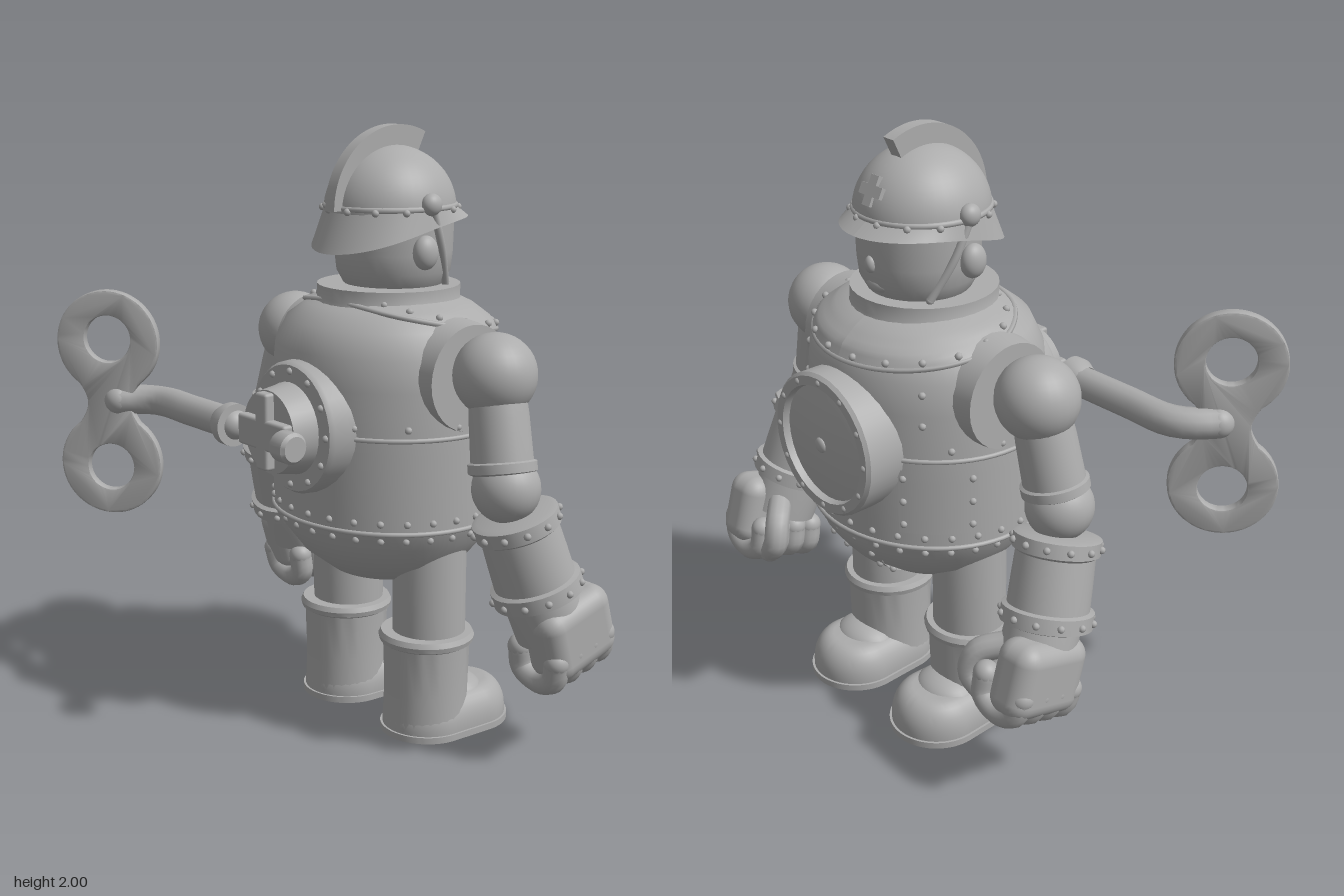
import * as THREE from 'three';
import { toCreasedNormals } from 'three/addons/utils/BufferGeometryUtils.js';
import { RoundedBoxGeometry } from 'three/addons/geometries/RoundedBoxGeometry.js';

const V = (x, y, z) => new THREE.Vector3(x, y, z);
const CX = 0.155, SX = 0.915; // torso centre and depth ratio
const PROFILE = [[0, 0.487], [0.1, 0.497], [0.2, 0.53], [0.3, 0.6], [0.365, 0.68], [0.39, 0.745], [0.4, 0.75],
  [0.402, 1.0], [0.4, 1.2], [0.39, 1.3], [0.35, 1.38], [0.28, 1.43], [0.2, 1.46], [0, 1.465]];

// torso radius at a height
function radiusAt(y) {
  for (let i = 1; i < PROFILE.length; i++) {
    const [r0, y0] = PROFILE[i - 1], [r1, y1] = PROFILE[i];
    if (y <= y1) return r0 + (r1 - r0) * Math.max(0, (y - y0) / (y1 - y0));
  }
  return 0;
}
// point on the torso; angle 0 is the chest
function onBody(a, y, off = 0) {
  const r = radiusAt(y) + off;
  return V(CX + r * SX * Math.cos(a), y, r * Math.sin(a));
}

export function createModel() {
  const model = new THREE.Group();
  model.name = 'windUpRobot';
  const metal = new THREE.MeshStandardMaterial({ color: 0xacacac, side: THREE.DoubleSide });
  metal.name = 'grey metal';

  const add = (name, geo, x = 0, y = 0, z = 0) => {
    const m = new THREE.Mesh(geo, metal);
    m.name = name;
    m.position.set(x, y, z);
    model.add(m);
    return m;
  };
  const lathe = (pts, seg = 40) =>
    toCreasedNormals(new THREE.LatheGeometry(pts.map(([r, y]) => new THREE.Vector2(r, y)), seg), 0.6);
  // turned part from a to b; profile is [radius, fraction along]
  const rod = (name, a, b, pts) => {
    const d = b.clone().sub(a), L = d.length();
    const m = add(name, lathe(pts.map(([r, t]) => [r, t * L]), 32), a.x, a.y, a.z);
    m.quaternion.setFromUnitVectors(V(0, 1, 0), d.normalize());
    return m;
  };
  const ball = (name, p, rx, ry = rx, rz = rx) => {
    const m = add(name, new THREE.SphereGeometry(1, 28, 20), p.x, p.y, p.z);
    m.scale.set(rx, ry, rz);
    return m;
  };
  const tube = (name, pts, r) => {
    add(name, new THREE.TubeGeometry(new THREE.CatmullRomCurve3(pts), 16, r, 12));
    [pts[0], pts[pts.length - 1]].forEach(p => ball(name + 'End', p, r));
  };
  const rivetGeo = new THREE.SphereGeometry(0.012, 8, 6);
  const rivet = p => add('rivet', rivetGeo, p.x, p.y, p.z);
  // grid surface from a function of u, v
  const sheet = (name, fn, nu, nv) => {
    const g = new THREE.PlaneGeometry(1, 1, nu, nv), p = g.attributes.position;
    for (let i = 0; i < p.count; i++) {
      const q = fn(p.getX(i) + 0.5, p.getY(i) + 0.5);
      p.setXYZ(i, q.x, q.y, q.z);
    }
    g.computeVertexNormals();
    return add(name, g);
  };
  const bodyPlate = (name, a0, a1, y0, y1, off) =>
    sheet(name, (u, v) => onBody(a1 + (a0 - a1) * u, y0 + (y1 - y0) * v, off), 20, 10);

  // Torso
  const torso = add('torso', lathe(PROFILE, 64), CX);
  torso.scale.x = SX;
  for (const y of [0.745, 1.05]) {
    const band = add('seamBand', new THREE.TorusGeometry(0.401, 0.008, 8, 64).rotateX(Math.PI / 2), CX, y);
    band.scale.x = SX;
  }
  for (let i = 0; i < 28; i++) {
    const a = (i + 0.5) / 28 * Math.PI * 2;
    for (const y of [0.715, 0.778]) rivet(onBody(a, y));
    if (i % 2) rivet(onBody(a, 1.085));
  }
  // Side and hip plates with riveted edges
  bodyPlate('hipPlate', -0.33, 0.33, 0.5, 0.735, 0.01);
  for (const s of [1, -1]) {
    bodyPlate('sidePlate', s * 0.9 - 0.32, s * 0.9 + 0.32, 0.8, 1.02, 0.008);
    for (const y of [0.83, 0.91, 0.99]) for (const e of [-0.28, 0.28]) rivet(onBody(s * 0.9 + e, y, 0.008));
    for (const y of [0.55, 0.61, 0.67]) rivet(onBody(s * 0.27, y, 0.01));
    for (const y of [1.17, 1.27]) rivet(onBody(s * 0.78, y));
  }

  // Neck bib and collar
  const bibLow = a => 1.39 - 0.06 * Math.cos(a);
  sheet('bib', (u, v) => {
    const a = -u * Math.PI * 2, y = bibLow(a) + (1.455 - bibLow(a)) * v;
    return onBody(a, y, 0.014);
  }, 64, 8);
  const edge = [];
  for (let i = 0; i < 40; i++) {
    const a = i / 40 * Math.PI * 2;
    edge.push(onBody(a, bibLow(a), 0.008));
    if (i % 2) rivet(onBody(a, bibLow(a) + 0.02, 0.016));
  }
  add('bibRim', new THREE.TubeGeometry(new THREE.CatmullRomCurve3(edge, true), 80, 0.009, 6, true));
  rod('collar', V(0.16, 1.42, 0), V(0.16, 1.492, 0), [[0.25, 0], [0.235, 0.4], [0.235, 1], [0, 1]]);

  // Chest porthole
  rod('chestDisc', V(0.4, 1.06, 0), V(0.59, 1.06, 0),
    [[0.235, 0], [0.235, 0.94], [0.225, 1], [0.195, 1], [0.19, 0.88], [0.15, 0.93], [0.08, 0.98], [0, 1]]);
  ball('chestBoss', V(0.588, 1.06, 0), 0.012, 0.025, 0.025);
  for (let i = 0; i < 12; i++) {
    const a = i / 12 * Math.PI * 2;
    rivet(V(0.585, 1.06 + 0.21 * Math.cos(a), 0.21 * Math.sin(a)));
    rivet(V(-0.245, 1.06 + 0.185 * Math.cos(a), 0.185 * Math.sin(a)));
  }
  // Winding gear on the back
  rod('backPlate', V(-0.1, 1.06, 0), V(-0.245, 1.06, 0), [[0.225, 0], [0.215, 0.9], [0.205, 1], [0, 1]]);
  rod('backHub', V(-0.2, 1.06, 0), V(-0.33, 1.06, 0), [[0.16, 0], [0.145, 0.5], [0.135, 1], [0, 1]]);
  add('hubBracket', new RoundedBoxGeometry(0.04, 0.25, 0.06, 2, 0.01), -0.343, 1.065, 0);
  add('hubBracketBar', new RoundedBoxGeometry(0.04, 0.1, 0.25, 2, 0.01), -0.343, 1.055, 0);
  rod('axleNut', V(-0.385, 1.055, 0.14), V(-0.385, 1.055, 0.215),
    [[0, 0], [0.045, 0], [0.05, 0.15], [0.05, 0.85], [0.04, 1], [0, 1]]);
  // Key
  rod('keyFlange', V(-0.35, 1.055, -0.13), V(-0.35, 1.055, -0.2), [[0, 0], [0.07, 0], [0.07, 0.5], [0.052, 1]]);
  tube('keyShaft', [V(-0.345, 1.055, -0.15), V(-0.345, 1.055, -0.4), V(-0.345, 1.055, -0.57),
    V(-0.385, 1.055, -0.64), V(-0.45, 1.055, -0.69)], 0.052);
  const bow = new THREE.Shape(); // two rings joined by a waist
  bow.absarc(0, 0.213, 0.172, -0.95, Math.PI + 0.95, false);
  bow.quadraticCurveTo(-0.07, 0.03, -0.07, 0);
  bow.quadraticCurveTo(-0.07, -0.03, -0.1, -0.073);
  bow.absarc(0, -0.213, 0.172, Math.PI - 0.95, Math.PI * 2 + 0.95, false);
  bow.quadraticCurveTo(0.07, -0.03, 0.07, 0);
  bow.quadraticCurveTo(0.07, 0.03, 0.1, 0.073);
  for (const y of [0.225, -0.225]) bow.holes.push(new THREE.Path().absarc(0, y, 0.088, 0, Math.PI * 2, true));
  const bowGeo = new THREE.ExtrudeGeometry(bow, { depth: 0.026, bevelThickness: 0.007, bevelSize: 0.007,
    bevelSegments: 2, curveSegments: 28 }).translate(0, 0, -0.013);
  add('keyBow', toCreasedNormals(bowGeo, 0.6), -0.475, 1.045, -0.705).rotation.y = -0.85;

  // Head
  rod('head', V(0.18, 1.46, 0), V(0.18, 1.8, 0),
    [[0.14, 0], [0.165, 0.1], [0.187, 0.22], [0.194, 0.4], [0.196, 0.6], [0.2, 0.85], [0, 1]]);
  ball('nose', V(0.372, 1.6, 0), 0.018, 0.028, 0.02);
  ball('chin', V(0.345, 1.53, 0), 0.025, 0.025, 0.05);
  // Helmet dome, brim and crest
  const dome = new THREE.SphereGeometry(1, 40, 16, 0, Math.PI * 2, 0, Math.PI / 2);
  add('helmetDome', dome, 0.165, 1.73, 0).scale.set(0.22, 0.207, 0.21);
  sheet('helmetBrim', (u, v) => {
    const a = -u * Math.PI * 2, c = Math.cos(a), s = Math.sin(a);
    const r = 0.212 + (1 - v) * (0.012 + 0.046 * c * c);
    const low = 1.655 + 0.05 * c + 0.03 * s * s;
    return V(0.165 + r * c, low + (1.745 - low) * v, r * s);
  }, 56, 6);
  const rim = add('helmetBand', new THREE.TorusGeometry(0.214, 0.01, 8, 48).rotateX(Math.PI / 2), 0.165, 1.745, 0);
  rim.scale.z = 0.97;
  for (let i = 0; i < 14; i++) {
    const a = (i + 0.5) / 14 * Math.PI * 2;
    rivet(V(0.165 + 0.222 * Math.cos(a), 1.737, 0.216 * Math.sin(a)));
  }
  const crest = new THREE.Shape();
  crest.absarc(0, 0, 0.262, 1.12, Math.PI, false);
  crest.absarc(0, 0, 0.185, Math.PI, 1.12, true);
  const crestGeo = new THREE.ExtrudeGeometry(crest, { depth: 0.046, bevelEnabled: false, curveSegments: 28 });
  add('helmetCrest', toCreasedNormals(crestGeo, 0.6), 0.178, 1.738, -0.023);
  for (const [h, w] of [[0.095, 0.035], [0.035, 0.095]])
    add('helmetCross', new THREE.BoxGeometry(0.03, h, w), 0.352, 1.825, 0).rotation.z = 0.45;

  for (const s of [1, -1]) {
    // Ears, helmet knobs and chin straps
    ball('ear', V(0.14, 1.61, s * 0.205), 0.045, 0.055, 0.035);
    ball('helmetKnob', V(0.158, 1.76, s * 0.21), 0.036, 0.036, 0.03);
    tube('chinStrap', [V(0.16, 1.75, s * 0.215), V(0.21, 1.63, s * 0.2), V(0.27, 1.5, s * 0.155)], 0.013);

    // Shoulder and upper arm
    rod('shoulderSocket', V(0.165, 1.235, s * 0.2), V(0.165, 1.235, s * 0.405),
      [[0.19, 0], [0.178, 0.7], [0.17, 1], [0, 1]]);
    ball('shoulderBall', V(0.16, 1.265, s * 0.512), 0.132);
    rod('upperArm', V(0.155, 1.2, s * 0.53), V(0.138, 0.965, s * 0.58),
      [[0.09, 0], [0.094, 0.25], [0.098, 0.82], [0.108, 0.84], [0.108, 0.96], [0.09, 1], [0, 1]]);
    ball('elbow', V(0.138, 0.925, s * 0.595), 0.108);

    // Forearm cuff with riveted rings
    const a = V(0.158, 0.845, s * 0.612), b = V(0.242, 0.57, s * 0.65);
    rod('forearm', a, b, [[0, 0], [0.12, 0], [0.138, 0.02], [0.138, 0.18], [0.125, 0.21], [0.128, 0.5],
      [0.13, 0.79], [0.146, 0.81], [0.146, 0.98], [0.13, 1], [0, 1]]);
    const axis = b.clone().sub(a).normalize(), side = V(0, 0, 1).cross(axis).normalize(), up = axis.clone().cross(side);
    for (const [t, r] of [[0.1, 0.14], [0.9, 0.147]]) for (let i = 0; i < 12; i++) {
      const k = i / 12 * Math.PI * 2;
      rivet(a.clone().lerp(b, t).addScaledVector(side, r * Math.cos(k)).addScaledVector(up, r * Math.sin(k)));
    }
    // Clenched hand
    rod('wrist', V(0.23, 0.62, s * 0.64), V(0.31, 0.41, s * 0.665), [[0.115, 0], [0.12, 0.4], [0.12, 0.8], [0, 1]]);
    add('palm', new RoundedBoxGeometry(0.29, 0.25, 0.16, 4, 0.06), 0.325, 0.45, s * 0.705).rotation.z = 0.28;
    for (let i = 0; i < 4; i++) {
      const t = -0.105 + i * 0.07, x = 0.34 + t * 0.96, y = 0.375 + t * 0.28;
      tube('finger', [V(x - 0.01, y + 0.03, s * 0.745), V(x, y - 0.035, s * 0.725), V(x + 0.005, y - 0.06, s * 0.655),
        V(x, y - 0.03, s * 0.59), V(x - 0.01, y + 0.04, s * 0.585)], 0.041);
    }
    tube('thumb', [V(0.34, 0.52, s * 0.6), V(0.41, 0.48, s * 0.525), V(0.43, 0.41, s * 0.515), V(0.42, 0.36, s * 0.565)], 0.042);

    // Leg and boot
    const lz = s * 0.215;
    rod('leg', V(0.165, 0.3, lz), V(0.165, 0.66, lz), [[0.122, 0], [0.122, 1], [0, 1]]);
    rod('bootShaft', V(0.155, 0.02, lz), V(0.155, 0.352, lz),
      [[0.145, 0], [0.14, 0.4], [0.145, 0.88], [0.156, 0.9], [0.16, 0.95], [0.152, 1], [0, 1]]);
    const stadium = inset => {
      const f = new THREE.Shape();
      f.absarc(0.158, 0, 0.152 - inset, Math.PI / 2, Math.PI * 1.5, false);
      f.absarc(0.312, 0, 0.158 - inset, -Math.PI / 2, Math.PI / 2, false);
      return f;
    };
    const foot = new THREE.ExtrudeGeometry(stadium(0.075), { depth: 0.02, bevelThickness: 0.1, bevelSize: 0.07,
      bevelSegments: 8, curveSegments: 20 }).rotateX(-Math.PI / 2).translate(0, 0.02, 0);
    const fp = foot.attributes.position;
    for (let i = 0; i < fp.count; i++) fp.setY(i, Math.max(0.005, fp.getY(i)));
    add('bootFoot', toCreasedNormals(foot, 0.7), 0, 0, lz);
    ball('bootInstep', V(0.27, 0.11, lz), 0.1, 0.065, 0.115);
    const sole = new THREE.ExtrudeGeometry(stadium(-0.003), { depth: 0.022, bevelEnabled: false, curveSegments: 20 });
    add('bootSole', toCreasedNormals(sole.rotateX(-Math.PI / 2), 0.6), 0, 0, lz);
  }

  // Offset so the reach of key and arms is centred
  model.children.forEach(m => { m.position.z += m.name.startsWith('key') ? 0 : 0.025; });
  return model;
}
